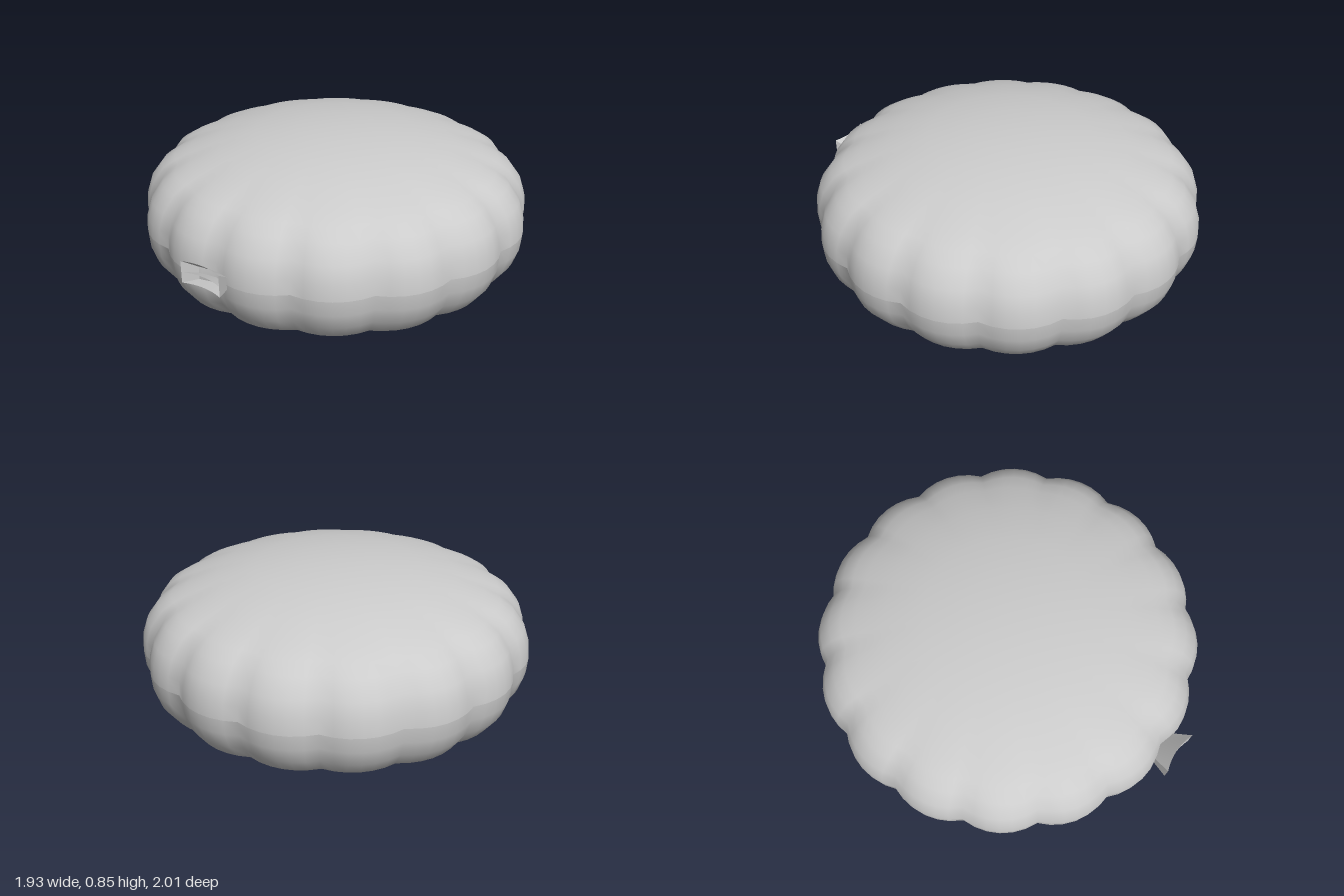
import * as THREE from 'three';
import { mergeVertices } from 'three/addons/utils/BufferGeometryUtils.js';

const LOBES = 16;
const CENTER = { y: 0.433, z: -0.04 };

// Half of the pillow-shaped section: radius and height above the seam, rim to pole
const PROFILE = [
  [0.978, 0], [0.972, 0.075], [0.945, 0.155], [0.885, 0.235], [0.82, 0.275],
  [0.74, 0.31], [0.59, 0.36], [0.4, 0.4], [0.2, 0.42], [0, 0.427],
];

// One inflated half, with puckered notches that fade out away from the rim
function shellHalf(sign) {
  const points = PROFILE.map(([r, y]) => new THREE.Vector2(r, y * sign));
  if (sign < 0) points.reverse();
  let geometry = new THREE.LatheGeometry(points, LOBES * 6);
  const p = geometry.attributes.position;
  for (let i = 0; i < p.count; i++) {
    const x = p.getX(i), z = p.getZ(i);
    const r = Math.hypot(x, z);
    const lobe = Math.abs(Math.sin(Math.atan2(x, z) * LOBES / 2));
    const fade = THREE.MathUtils.smoothstep(r, 0.55, 0.95);
    const k = 1 - 0.04 * fade * (1 - Math.pow(lobe, 0.85));
    p.setXYZ(i, x * k, p.getY(i), z * k);
  }
  geometry.deleteAttribute('normal');
  geometry.deleteAttribute('uv');
  geometry = mergeVertices(geometry, 1e-4);
  geometry.computeVertexNormals();
  return geometry;
}

// Thin flared sheet running from inside the seam out to the open end of the neck
function neckSheet(y0, y1, bow) {
  const geometry = new THREE.PlaneGeometry(2, 1, 8, 3);
  const p = geometry.attributes.position;
  for (let i = 0; i < p.count; i++) {
    const u = p.getX(i), t = p.getY(i) + 0.5;
    const width = THREE.MathUtils.lerp(0.06, 0.11, t);
    const end = 0.98 + 0.02 * u * u;
    p.setXYZ(i, u * width,
      THREE.MathUtils.lerp(y0, y1, t) + bow * (1 - u * u) * t,
      THREE.MathUtils.lerp(0.86, end, t));
  }
  geometry.computeVertexNormals();
  return geometry;
}

// Narrow side wall joining the upper and lower sheets of the neck
function neckSide(side) {
  const geometry = new THREE.BufferGeometry();
  geometry.setAttribute('position', new THREE.Float32BufferAttribute([
    side * 0.06, 0.4, 0.86, side * 0.11, 0.42, 1,
    side * 0.11, 0.53, 1, side * 0.06, 0.43, 0.86,
  ], 3));
  geometry.setIndex(side > 0 ? [0, 2, 1, 0, 3, 2] : [0, 1, 2, 0, 2, 3]);
  geometry.computeVertexNormals();
  return geometry;
}

export function createModel() {
  const model = new THREE.Group();
  model.name = 'foilBalloon';
  const skin = new THREE.MeshStandardMaterial({ color: 0xcccccc });
  const thin = new THREE.MeshStandardMaterial({ color: 0xcccccc, side: THREE.DoubleSide });

  const add = (parent, name, geometry, material) => {
    const mesh = new THREE.Mesh(geometry, material);
    mesh.name = name;
    parent.add(mesh);
    return mesh;
  };

  // Two separate halves keep the seam sharp
  const body = new THREE.Group();
  body.name = 'body';
  body.position.set(0, CENTER.y, CENTER.z);
  add(body, 'upperShell', shellHalf(1), skin);
  add(body, 'lowerShell', shellHalf(-1), skin);
  model.add(body);

  // Filling neck at the front
  const neck = new THREE.Group();
  neck.name = 'neck';
  add(neck, 'neckTop', neckSheet(0.43, 0.53, 0), thin);
  add(neck, 'neckFold', neckSheet(0.415, 0.475, 0), thin);
  add(neck, 'neckBottom', neckSheet(0.4, 0.42, 0), thin);
  for (const side of [-1, 1]) add(neck, side > 0 ? 'neckLeft' : 'neckRight', neckSide(side), thin);
  model.add(neck);

  return model;
}
